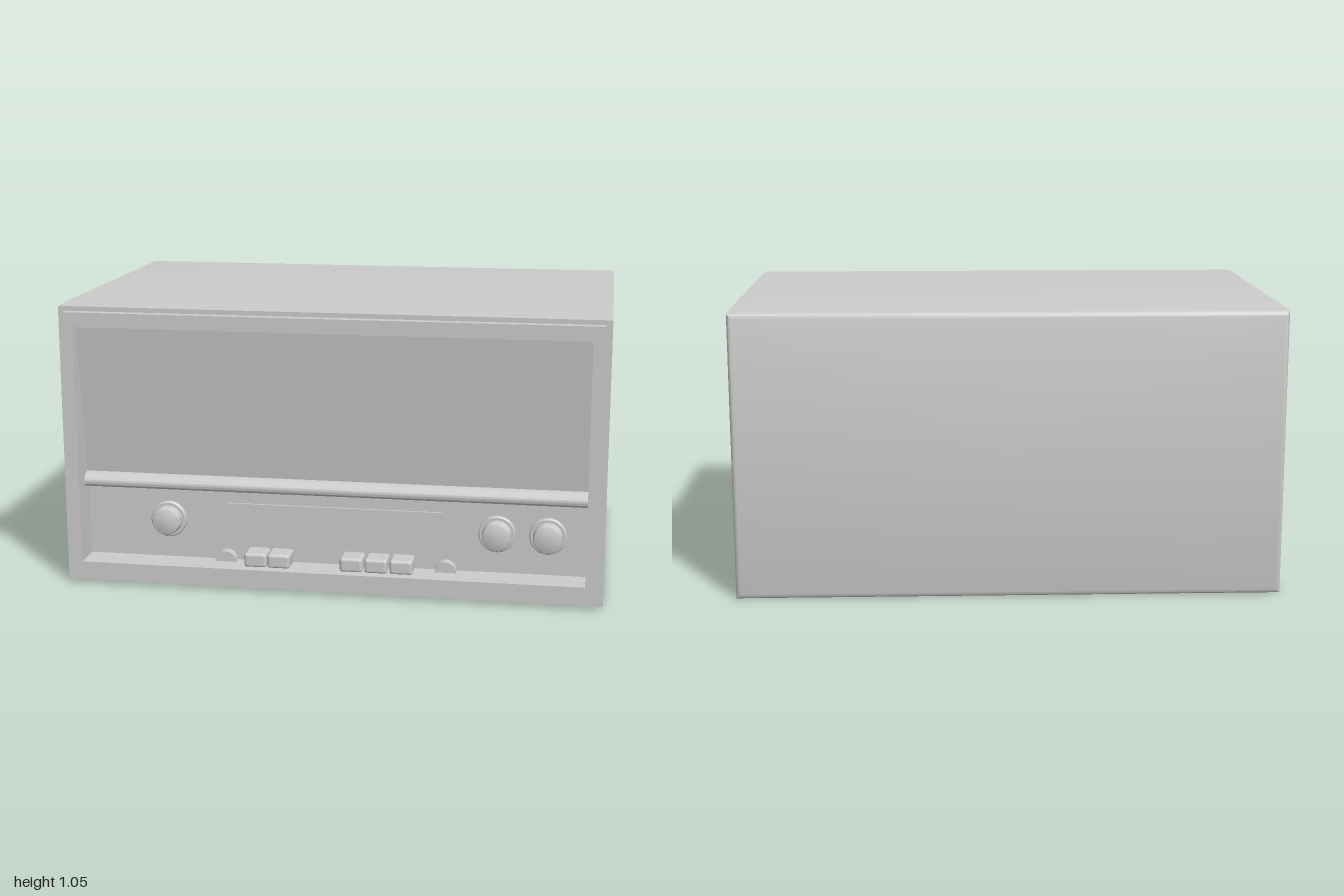
import * as THREE from 'three';
import { toCreasedNormals } from 'three/addons/utils/BufferGeometryUtils.js';
import { RoundedBoxGeometry } from 'three/addons/geometries/RoundedBoxGeometry.js';

const material = new THREE.MeshStandardMaterial({ color: 0xcccccc });
const PANEL_Z = 0.54;
const INNER_WIDTH = 1.87;

// Joins rectangular sections [halfWidth, bottom, top, z], ordered from back to front
function rectLoft(sections) {
  const positions = [];
  const index = [];
  for (const [w, y0, y1, z] of sections) {
    positions.push(-w, y0, z, w, y0, z, w, y1, z, -w, y1, z);
  }
  for (let s = 0; s < sections.length - 1; s++) {
    for (let i = 0; i < 4; i++) {
      const a = s * 4 + i, b = s * 4 + (i + 1) % 4;
      index.push(a, b, b + 4, a, b + 4, a + 4);
    }
  }
  const geometry = new THREE.BufferGeometry();
  geometry.setAttribute('position', new THREE.Float32BufferAttribute(positions, 3));
  geometry.setIndex(index);
  return toCreasedNormals(geometry, 0.6);
}

// Extrudes a side profile drawn in (z, y) along x, centred on x = 0
function extrudeAcross(shape, width) {
  const geometry = new THREE.ExtrudeGeometry(shape, { depth: width, bevelEnabled: false, curveSegments: 10 });
  geometry.translate(0, 0, -width / 2).rotateY(-Math.PI / 2);
  return toCreasedNormals(geometry, 0.6);
}

export function createModel() {
  const model = new THREE.Group();
  const add = (name, geometry, x = 0, y = 0, z = 0, parent = model) => {
    const mesh = new THREE.Mesh(geometry, material);
    mesh.name = name;
    mesh.position.set(x, y, z);
    parent.add(mesh);
    return mesh;
  };

  // Cabinet with softened rear edges
  add('cabinet', rectLoft([
    [0, 0.525, 0.525, -0.66],
    [0.98, 0.02, 1.03, -0.66],
    [0.99, 0.008, 1.042, -0.655],
    [0.997, 0.002, 1.048, -0.647],
    [1, 0, 1.05, -0.63],
    [1, 0, 1.05, 0.5],
    [1, 0.004, 1.047, 0.625],
    [0.97, 0.025, 1.025, 0.625],
  ]));

  // Front frame and the walls of the recess behind it
  add('bezel', rectLoft([
    [0.975, 0.02, 1.03, 0.62],
    [0.975, 0.02, 1.03, 0.66],
    [0.935, 0.085, 0.985, 0.66],
    [0.935, 0.085, 0.985, 0.52],
  ]));

  // Speaker panel leaning forward at the top
  const slope = new THREE.Shape([
    [0.52, 0.38], [0.555, 0.38], [0.63, 0.985], [0.52, 0.985],
  ].map(([z, y]) => new THREE.Vector2(z, y)));
  add('speakerPanel', extrudeAcross(slope, INNER_WIDTH));
  add('speakerTopStrip', new THREE.BoxGeometry(INNER_WIDTH, 0.012, 0.04), 0, 0.979, 0.622);

  // Rounded rail between the speaker and the controls
  const rail = new THREE.Shape();
  rail.moveTo(0.52, 0.36);
  rail.lineTo(0.585, 0.36);
  rail.quadraticCurveTo(0.6, 0.362, 0.6, 0.38);
  rail.quadraticCurveTo(0.598, 0.408, 0.56, 0.412);
  rail.lineTo(0.52, 0.412);
  add('dividerRail', extrudeAcross(rail, INNER_WIDTH));

  // Control panel and tuning dial
  add('controlPanel', new THREE.BoxGeometry(INNER_WIDTH, 0.295, 0.02), 0, 0.2325, PANEL_Z - 0.01);
  add('tuningDial', new THREE.BoxGeometry(0.81, 0.15, 0.012), 0.005, 0.23, PANEL_Z + 0.002);

  // Knobs: a low collar and a taller cap with a softened rim
  const knobProfile = [
    [0.068, -0.005], [0.068, 0.014], [0.064, 0.018], [0.054, 0.018],
    [0.052, 0.052], [0.049, 0.058], [0.044, 0.06], [0, 0.062],
  ].map(([r, h]) => new THREE.Vector2(r, h));
  const knobGeometry = toCreasedNormals(
    new THREE.LatheGeometry(knobProfile, 40).rotateX(Math.PI / 2), 0.7);
  for (const x of [-0.625, 0.61, 0.795]) add('knob', knobGeometry, x, 0.235, PANEL_Z);

  // Push buttons standing on the sill
  const buttonGeometry = new RoundedBoxGeometry(0.085, 0.055, 0.1, 3, 0.012);
  for (const x of [-0.28, -0.192, 0.08, 0.172, 0.265]) {
    add('pushButton', buttonGeometry, x, 0.1085, PANEL_Z + 0.032);
  }

  // Thumb wheels half sunk into the sill
  const wheelGeometry = new THREE.CylinderGeometry(0.04, 0.04, 0.04, 32, 1, false, Math.PI / 2, Math.PI)
    .rotateX(Math.PI / 2);
  for (const x of [-0.403, 0.424]) add('thumbWheel', wheelGeometry, x, 0.085, PANEL_Z + 0.015);

  return model;
}
